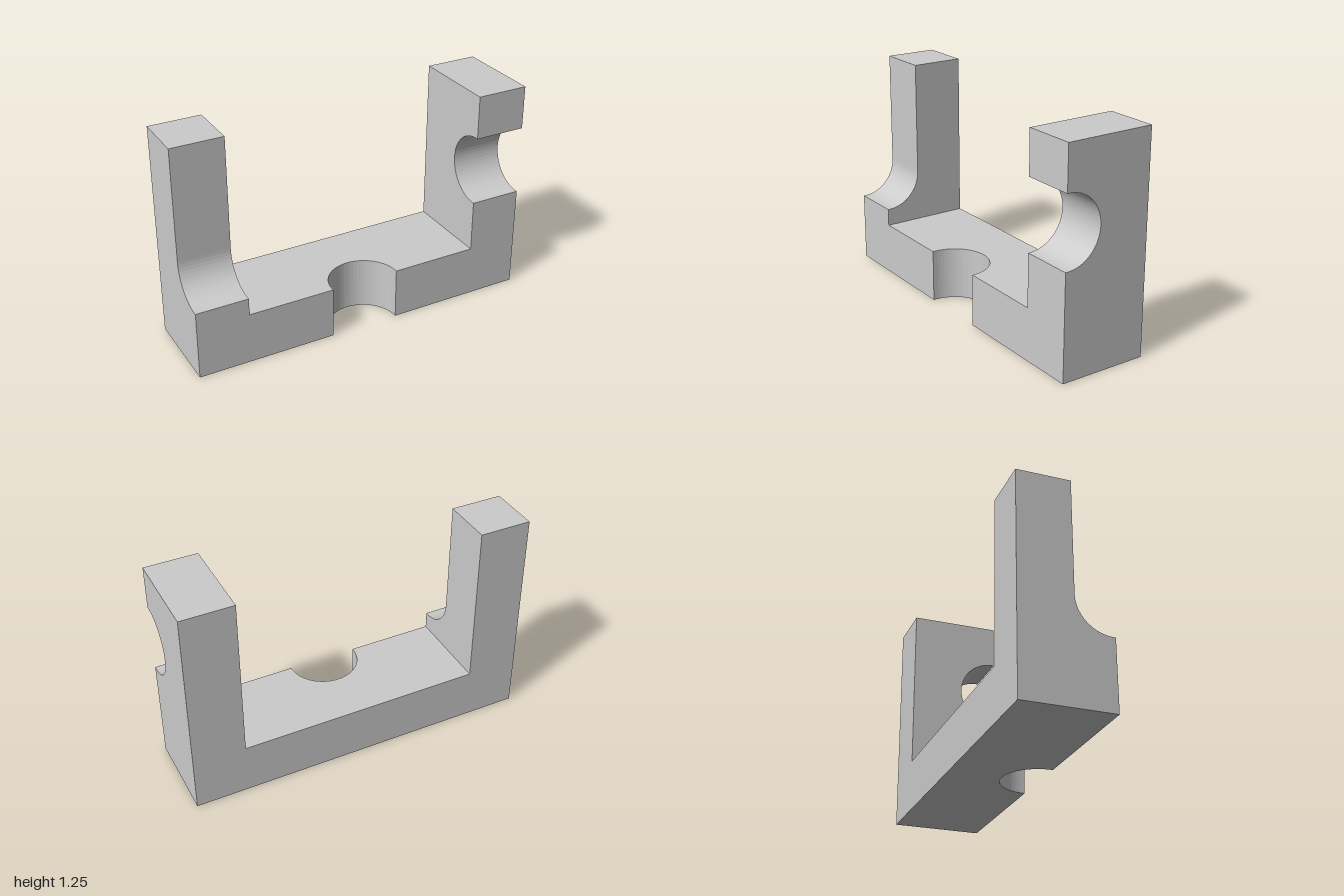
import * as THREE from 'three';

const HALF_DEPTH = 0.255; // half of the front-to-back size
const R = 0.2;            // radius of every round cut
const CUT = -0.245;       // cut centre; profile coordinates run front (-) to back (+)
const ARM = 0.3;          // arm width and base thickness
const TOP = 1.25;

const material = new THREE.MeshStandardMaterial({ color: 0xcccccc, flatShading: true });

function extrude(name, shape, depth, curveSegments) {
  const geometry = new THREE.ExtrudeGeometry(shape, { depth, curveSegments, bevelEnabled: false });
  const mesh = new THREE.Mesh(geometry, material);
  mesh.name = name;
  return mesh;
}

// Arm profile seen from the side, up to the top back corner
function armShape() {
  const s = new THREE.Shape();
  s.moveTo(-HALF_DEPTH, 0);
  s.lineTo(HALF_DEPTH, 0);
  s.lineTo(HALF_DEPTH, TOP);
  return s;
}

export function createModel() {
  const group = new THREE.Group();
  group.name = 'notchedBracket';

  // Base with a half-round vertical notch in its front
  const inner = 1 - ARM;
  const baseShape = new THREE.Shape();
  baseShape.moveTo(-inner, -HALF_DEPTH);
  baseShape.lineTo(-R, -HALF_DEPTH);
  baseShape.lineTo(-R, CUT);
  baseShape.absarc(0, CUT, R, Math.PI, 0, true);
  baseShape.lineTo(R, -HALF_DEPTH);
  baseShape.lineTo(inner, -HALF_DEPTH);
  baseShape.lineTo(inner, HALF_DEPTH);
  baseShape.lineTo(-inner, HALF_DEPTH);
  const base = extrude('base', baseShape, ARM, 16);
  base.geometry.rotateX(-Math.PI / 2);
  group.add(base);

  // Left arm with a half-round notch across its front
  const left = armShape();
  left.lineTo(-HALF_DEPTH, TOP);
  left.lineTo(-HALF_DEPTH, 0.8 + R);
  left.lineTo(CUT, 0.8 + R);
  left.absarc(CUT, 0.8, R, Math.PI / 2, -Math.PI / 2, true);
  left.lineTo(-HALF_DEPTH, 0.8 - R);
  const leftArm = extrude('leftArm', left, ARM, 16);
  leftArm.geometry.rotateY(Math.PI / 2);
  leftArm.position.x = inner;
  group.add(leftArm);

  // Right arm, thinner above a concave quarter-round step
  const right = armShape();
  right.lineTo(CUT + R, TOP);
  right.lineTo(CUT + R, 0.6);
  right.absarc(CUT, 0.6, R, 0, -Math.PI / 2, true);
  right.lineTo(-HALF_DEPTH, 0.6 - R);
  const rightArm = extrude('rightArm', right, ARM, 8);
  rightArm.geometry.rotateY(Math.PI / 2);
  rightArm.position.x = -1;
  group.add(rightArm);

  return group;
}
